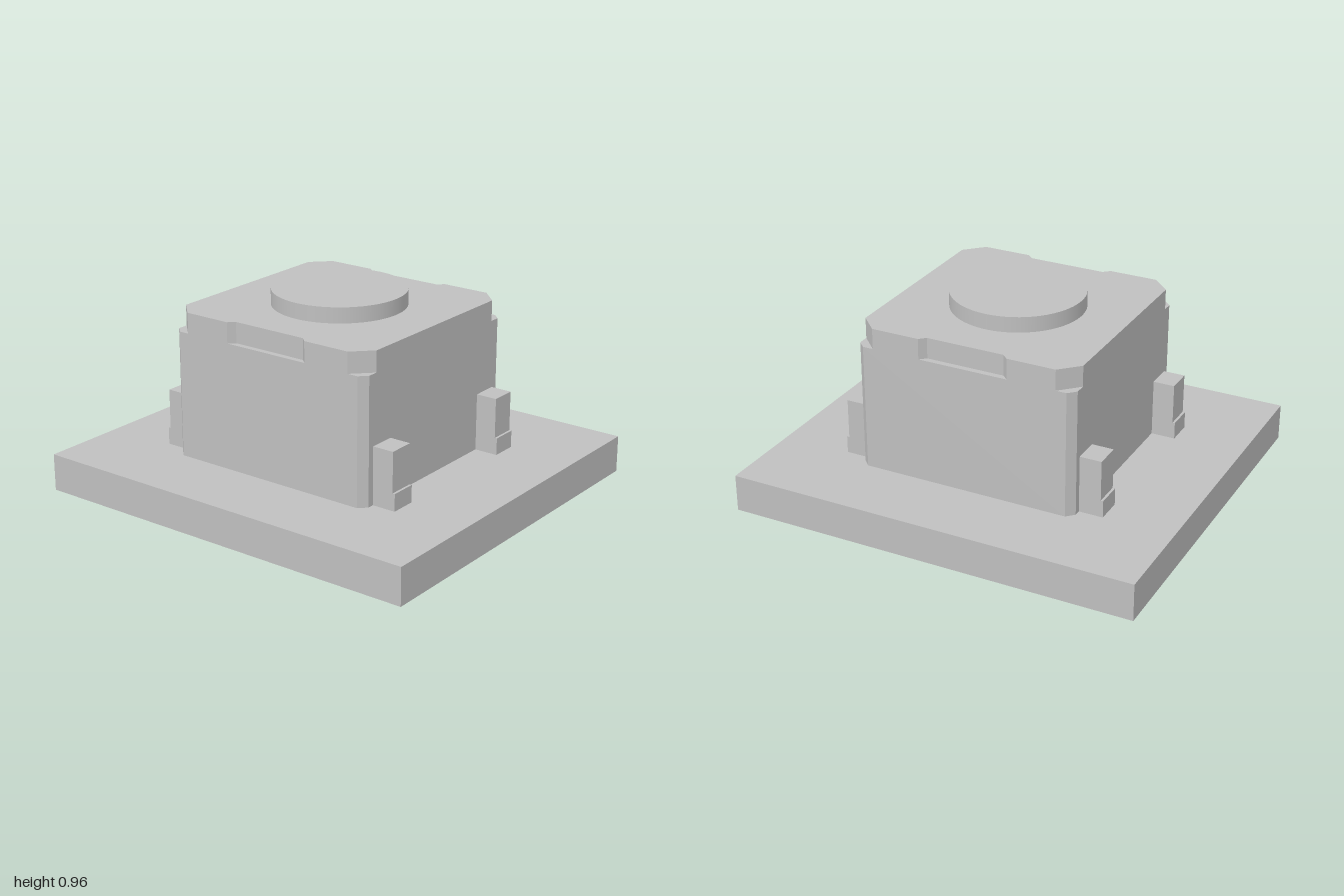
import * as THREE from 'three';

const BASE_TOP = 0.18, STEP = 0.79, BODY_TOP = 0.89, HALF = 0.543;

// Square outline with cut corners and optional notches in the front and back edges
function outline(cut, notch) {
  const h = HALF, c = h - cut;
  const side = notch
    ? [[-c, -h], [-0.22, -h], [-0.19, -h + 0.028], [0.19, -h + 0.028], [0.22, -h], [c, -h], [h, -c]]
    : [[-c, -h], [c, -h], [h, -c]];
  const pts = [...side, [h, c], ...side.slice(0, -1).reverse().map(([x, y]) => [x, -y]), [-h, c], [-h, -c]];
  return new THREE.Shape(pts.map(([x, y]) => new THREE.Vector2(x, y)));
}

// Extrude an outline upward from y0 to y1
function slab(shape, y0, y1) {
  return new THREE.ExtrudeGeometry(shape, { depth: y1 - y0, bevelEnabled: false })
    .rotateX(-Math.PI / 2).translate(0, y0, 0);
}

export function createModel() {
  const model = new THREE.Group();
  model.name = 'pushButtonSwitch';
  const grey = new THREE.MeshStandardMaterial({ color: 0xbfbfbf });
  grey.name = 'plain grey';
  const add = (name, geometry, parent = model) => {
    const mesh = new THREE.Mesh(geometry, grey);
    mesh.name = name;
    parent.add(mesh);
    return mesh;
  };

  // Mounting board
  add('basePlate', new THREE.BoxGeometry(2, BASE_TOP, 1.81).translate(0, BASE_TOP / 2, 0));

  // Housing and its notched top rim
  add('housing', slab(outline(0.036, false), BASE_TOP, STEP));
  add('housingRim', slab(outline(0.088, true), STEP, BODY_TOP));

  // Round push button
  add('button', new THREE.CylinderGeometry(0.318, 0.318, 0.075, 64).translate(0, BODY_TOP + 0.0375, 0));

  // Four terminals, each a stepped profile extruded along z
  const profile = new THREE.Shape([
    [0.54, BASE_TOP], [0.66, BASE_TOP], [0.66, 0.263], [0.648, 0.263], [0.648, 0.457], [0.54, 0.457],
  ].map(([x, y]) => new THREE.Vector2(x, y)));
  const terminal = new THREE.ExtrudeGeometry(profile, { depth: 0.128, bevelEnabled: false })
    .translate(0, 0, -0.064);
  for (const z of [-0.411, 0.411]) {
    for (const turn of [0, Math.PI]) {
      const leg = add(turn ? 'terminalRight' : 'terminalLeft', terminal);
      leg.rotation.y = turn;
      leg.position.z = z;
    }
  }
  return model;
}
